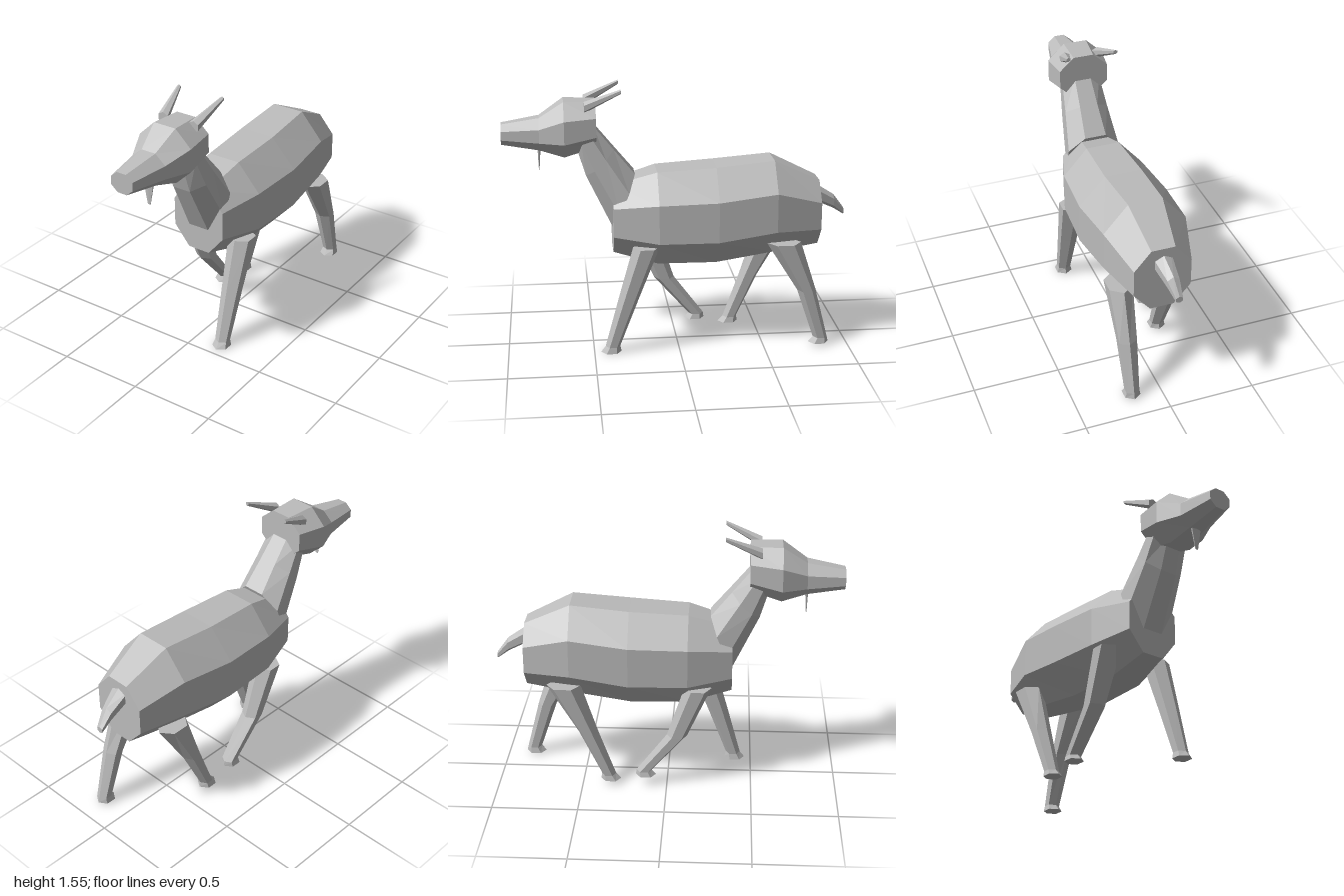
import * as THREE from 'three';

const coat = new THREE.MeshStandardMaterial({ color: 0xbcbcbc, flatShading: true });
coat.name = 'grey coat';

// Closed loft. Each ring is { c: centre, u: half-width in x, v: [y, z] second half-axis }.
// Rings run in the direction of x cross v, so faces point outward.
function loft(name, rings, sides, phase) {
  const angles = Array.from({ length: sides }, (_, k) => phase + (k / sides) * Math.PI * 2);
  const maxC = Math.max(...angles.map((a) => Math.abs(Math.cos(a))));
  const maxS = Math.max(...angles.map((a) => Math.abs(Math.sin(a))));
  const pos = [];
  const idx = [];
  for (const { c, u, v } of rings) {
    for (const a of angles) {
      const p = Math.cos(a) / maxC;
      const q = Math.sin(a) / maxS;
      pos.push(c[0] + p * u, c[1] + q * v[0], c[2] + q * v[1]);
    }
  }
  for (let i = 0; i < rings.length - 1; i++) {
    for (let k = 0; k < sides; k++) {
      const a = i * sides + k;
      const b = i * sides + ((k + 1) % sides);
      idx.push(a, b, b + sides, a, b + sides, a + sides);
    }
  }
  const last = (rings.length - 1) * sides;
  for (let k = 1; k < sides - 1; k++) {
    idx.push(0, k + 1, k, last, last + k, last + k + 1);
  }
  const indexed = new THREE.BufferGeometry();
  indexed.setAttribute('position', new THREE.Float32BufferAttribute(pos, 3));
  indexed.setIndex(idx);
  const geometry = indexed.toNonIndexed();
  geometry.computeVertexNormals();
  const mesh = new THREE.Mesh(geometry, coat);
  mesh.name = name;
  return mesh;
}

const OCT = Math.PI / 8;
const HEX = Math.PI / 2;

// Upright octagonal sections along z: [z, centre x, half-width, bottom, top]
const alongZ = (list) =>
  list.map(([z, x, u, y0, y1]) => ({ c: [x, (y0 + y1) / 2, z], u, v: [(y1 - y0) / 2, 0] }));

// Horizontal hexagonal sections going down: [y, centre z, half-width x, half-depth z]
const leg = (name, x, list) =>
  loft(name, list.map(([y, z, u, d]) => ({ c: [x, y, z], u, v: [0, d] })), 6, HEX);

// Tilted sections given by front and back points: [half-width, front y, front z, back y, back z]
const tilted = (list) =>
  list.map(([u, fy, fz, by, bz]) => ({
    c: [0, (fy + by) / 2, (fz + bz) / 2],
    u,
    v: [(by - fy) / 2, (bz - fz) / 2],
  }));

export function createModel() {
  const model = new THREE.Group();
  model.name = 'goat';

  // Barrel body
  model.add(loft('body', alongZ([
    [-0.83, 0, 0.165, 0.595, 0.98],
    [-0.56, 0, 0.24, 0.56, 1.11],
    [-0.22, 0, 0.262, 0.51, 1.08],
    [0.12, 0, 0.24, 0.51, 1.06],
    [0.375, 0, 0.165, 0.58, 0.985],
  ]), 8, OCT));

  // Neck leaning forward into the back of the head
  model.add(loft('neck', tilted([
    [0.155, 0.73, 0.376, 1.045, 0.246],
    [0.13, 1.04, 0.525, 1.19, 0.365],
    [0.115, 1.22, 0.58, 1.325, 0.475],
  ]), 8, OCT));

  // Head tapering to the muzzle, turned slightly to one side
  model.add(loft('head', alongZ([
    [0.465, -0.004, 0.145, 1.205, 1.468],
    [0.645, -0.012, 0.168, 1.152, 1.472],
    [0.785, -0.015, 0.108, 1.19, 1.377],
    [1.0, -0.025, 0.07, 1.222, 1.34],
  ]), 8, OCT));

  // Horns sweeping up and back
  for (const s of [-1, 1]) {
    model.add(loft(s > 0 ? 'leftHorn' : 'rightHorn', [
      { c: [-0.01 + s * 0.1, 1.445, 0.53], u: 0.03, v: [-0.033, 0] },
      { c: [-0.01 + s * 0.142, 1.54, 0.325], u: 0.011, v: [-0.013, 0] },
    ], 6, HEX));
  }

  // Beard
  model.add(loft('beard', [
    { c: [-0.018, 1.21, 0.787], u: 0.034, v: [0, 0.01] },
    { c: [-0.018, 1.065, 0.79], u: 0.009, v: [0, 0.002] },
  ], 6, HEX));

  // Tail drooping behind
  model.add(loft('tail', [
    { c: [0, 0.9, -0.8], u: 0.055, v: [-0.055, 0] },
    { c: [-0.018, 0.825, -0.935], u: 0.034, v: [-0.042, 0] },
    { c: [-0.028, 0.76, -1.0], u: 0.02, v: [-0.02, 0] },
  ], 6, HEX));

  // Legs in mid stride, each ending in a flared hoof
  model.add(leg('leftFrontLeg', 0.173, [
    [0.64, 0.19, 0.068, 0.078],
    [0.33, 0.295, 0.052, 0.06],
    [0.035, 0.392, 0.038, 0.043],
    [0.0, 0.402, 0.046, 0.06],
  ]));
  model.add(leg('rightFrontLeg', -0.173, [
    [0.64, 0.18, 0.068, 0.078],
    [0.33, 0.06, 0.052, 0.06],
    [0.09, -0.135, 0.038, 0.045],
    [0.06, -0.125, 0.046, 0.06],
  ]));
  model.add(leg('leftHindLeg', 0.173, [
    [0.64, -0.61, 0.068, 0.1],
    [0.345, -0.75, 0.052, 0.055],
    [0.045, -0.84, 0.038, 0.042],
    [0.012, -0.83, 0.046, 0.06],
  ]));
  model.add(leg('rightHindLeg', -0.173, [
    [0.64, -0.6, 0.068, 0.1],
    [0.335, -0.46, 0.052, 0.058],
    [0.06, -0.345, 0.038, 0.042],
    [0.028, -0.333, 0.046, 0.06],
  ]));

  return model;
}
